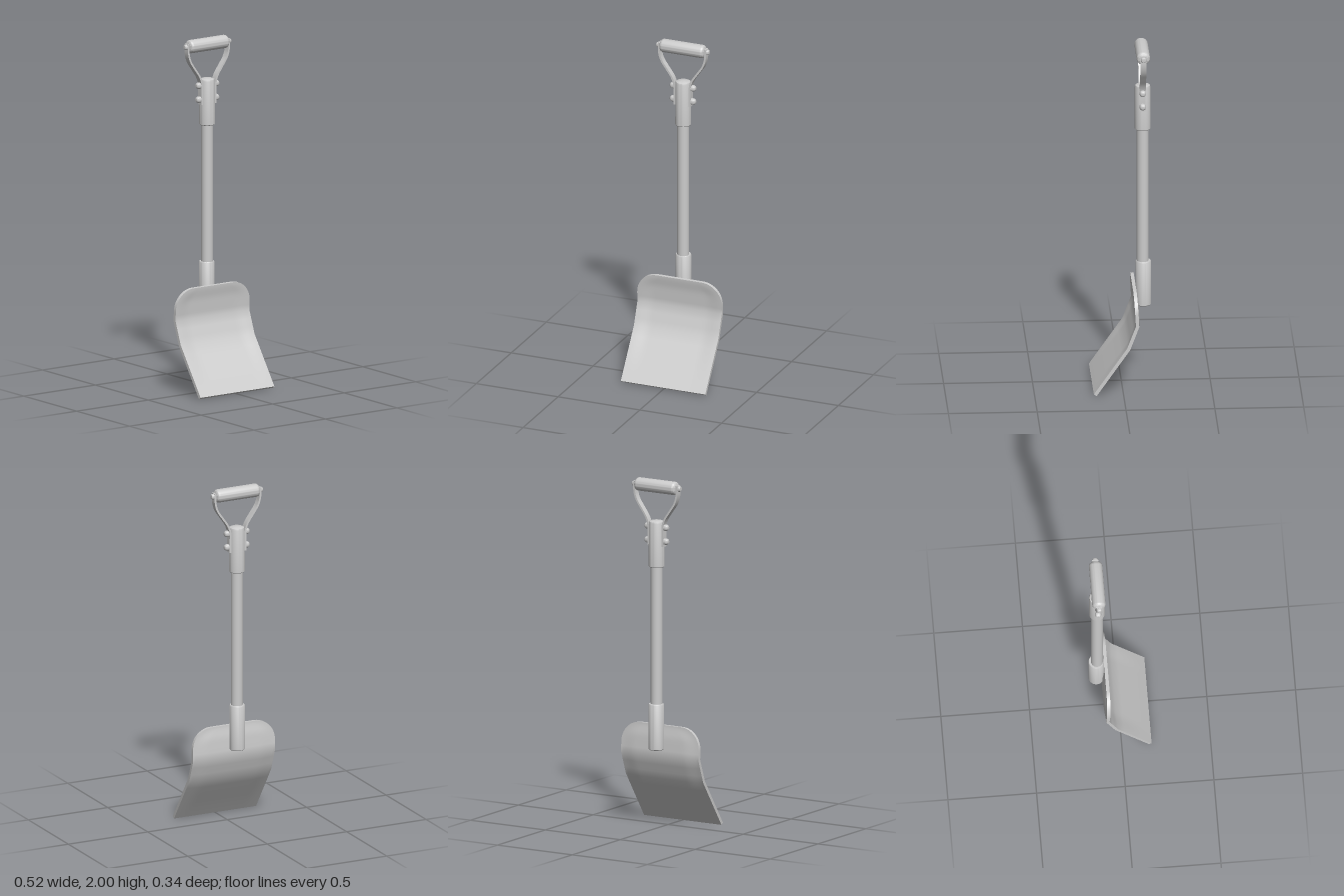
import * as THREE from 'three';
import { toCreasedNormals } from 'three/addons/utils/BufferGeometryUtils.js';

const material = new THREE.MeshStandardMaterial({ color: 0xcccccc });
const SHAFT_Z = -0.12;
const GRIP_Y = 1.962;

function add(parent, name, geometry, x = 0, y = 0, z = 0) {
  const mesh = new THREE.Mesh(geometry, material);
  mesh.name = name;
  mesh.position.set(x, y, z);
  parent.add(mesh);
  return mesh;
}

// Turned part from [radius, height] pairs
function turned(points, segments = 40) {
  const lathe = new THREE.LatheGeometry(points.map(([r, y]) => new THREE.Vector2(r, y)), segments);
  return toCreasedNormals(lathe, 0.6);
}

// Front face of the blade as [height, z], bottom to top
const PROFILE = [[0.01, 0.168], [0.28, -0.02], [0.41, -0.069], [0.585, -0.059]];
const slope = (a, b) => (b[1] - a[1]) / (b[0] - a[0]);

function bladeAt(y) {
  let i = 0;
  while (i < PROFILE.length - 2 && y > PROFILE[i + 1][0]) i++;
  let s = slope(PROFILE[i], PROFILE[i + 1]);
  const z = PROFILE[i][1] + s * (y - PROFILE[i][0]);
  // At a bend, share the slope of both sides
  if (i < PROFILE.length - 2 && Math.abs(y - PROFILE[i + 1][0]) < 1e-6) {
    s = (s + slope(PROFILE[i + 1], PROFILE[i + 2])) / 2;
  }
  const length = Math.hypot(1, s);
  return { z, ny: -s / length, nz: 1 / length };
}

// Bent, slightly dished sheet with rounded upper corners
function bladeGeometry() {
  const halfWidth = 0.258, corner = 0.12, top = 0.585, thickness = 0.019, cols = 32;
  const rows = [0.01, 0.06, 0.11, 0.17, 0.23, 0.28, 0.32, 0.365, 0.41, 0.44].map((y) => [y, halfWidth]);
  for (let i = 0; i <= 10; i++) {
    const a = (i / 10) * Math.PI / 2;
    rows.push([top - corner + corner * Math.sin(a), halfWidth - corner + corner * Math.cos(a)]);
  }
  const positions = [], indices = [];
  const ring = 2 * (cols + 1);
  for (const [y, w] of rows) {
    const { z, ny, nz } = bladeAt(y);
    for (let k = 0; k < ring; k++) {
      const back = k > cols;
      const x = w * (2 * (back ? ring - 1 - k : k) / cols - 1);
      const dish = 0.007 * THREE.MathUtils.smoothstep(w - Math.abs(x), 0, 0.1)
        * THREE.MathUtils.smoothstep(top - y, 0, 0.08) * THREE.MathUtils.smoothstep(y, 0.01, 0.3);
      const d = dish + (back ? thickness : 0);
      positions.push(x, y - d * ny, z - d * nz);
    }
  }
  const quad = (a, b, c, d) => indices.push(a, b, c, a, c, d);
  for (let i = 0; i < rows.length - 1; i++) {
    for (let k = 0; k < ring; k++) {
      const n = (k + 1) % ring;
      quad(i * ring + k, i * ring + n, (i + 1) * ring + n, (i + 1) * ring + k);
    }
  }
  // Close the top and bottom edges
  const last = (rows.length - 1) * ring;
  for (let k = 0; k < cols; k++) {
    quad(last + k, last + k + 1, last + ring - 2 - k, last + ring - 1 - k);
    quad(k, ring - 1 - k, ring - 2 - k, k + 1);
  }
  const geometry = new THREE.BufferGeometry();
  geometry.setAttribute('position', new THREE.Float32BufferAttribute(positions, 3));
  geometry.setIndex(indices);
  return toCreasedNormals(geometry, 0.8);
}

// Flat metal strap that curves from the sleeve up to the end of the grip
function strapGeometry() {
  const thickness = 0.011, width = 0.034, steps = 40;
  const curve = new THREE.CatmullRomCurve3([
    [0.047, 1.62], [0.047, 1.68], [0.048, 1.74], [0.062, 1.78], [0.093, 1.826],
    [0.126, 1.875], [0.14, 1.92], [0.141, 1.98],
  ].map(([x, y]) => new THREE.Vector3(x, y, 0)));
  const outer = [], inner = [];
  for (let i = 0; i <= steps; i++) {
    const p = curve.getPoint(i / steps), t = curve.getTangent(i / steps);
    const nx = t.y * thickness / 2, ny = -t.x * thickness / 2;
    outer.push(new THREE.Vector2(p.x + nx, p.y + ny));
    inner.push(new THREE.Vector2(p.x - nx, p.y - ny));
  }
  const shape = new THREE.Shape([...outer, ...inner.reverse()]);
  const geometry = new THREE.ExtrudeGeometry(shape, { depth: width, bevelEnabled: false });
  geometry.translate(0, 0, -width / 2);
  return toCreasedNormals(geometry, 0.6);
}

export function createModel() {
  const model = new THREE.Group();
  model.name = 'shovel';

  add(model, 'blade', bladeGeometry());
  add(model, 'shaft', new THREE.CylinderGeometry(0.034, 0.034, 1.1, 40), 0, 1.12, SHAFT_Z);

  // Sleeves around both ends of the shaft
  add(model, 'lowerSocket', turned([
    [0, 0.452], [0.041, 0.452], [0.044, 0.456], [0.044, 0.71], [0.041, 0.715], [0, 0.715],
  ]), 0, 0, -0.124);
  add(model, 'upperSleeve', turned([
    [0, 1.5], [0.042, 1.5], [0.045, 1.504], [0.044, 1.752], [0.041, 1.761], [0.03, 1.766], [0, 1.77],
  ]), 0, 0, SHAFT_Z);

  // Grip with rounded ends
  const handle = new THREE.Group();
  handle.name = 'handle';
  handle.position.z = SHAFT_Z + 0.002;
  model.add(handle);
  const gripProfile = [[0, -0.136], [0.018, -0.136]];
  for (let i = 0; i <= 6; i++) {
    const a = (i / 6) * Math.PI / 2;
    gripProfile.push([0.018 + 0.02 * Math.sin(a), -0.116 - 0.02 * Math.cos(a)]);
  }
  const mirrored = gripProfile.map(([r, y]) => [r, -y]).reverse();
  add(handle, 'grip', turned([...gripProfile, ...mirrored]), 0, GRIP_Y, 0).rotation.z = Math.PI / 2;

  // Straps, grip end caps and bolts on both sides
  const strap = strapGeometry();
  const cap = turned([[0, 0], [0.016, 0], [0.016, 0.008], [0.012, 0.015], [0, 0.017]], 24);
  const bolt = turned([[0, 0], [0.018, 0], [0.018, 0.015], [0.015, 0.022], [0.009, 0.027], [0, 0.028]], 24);
  for (const side of [1, -1]) {
    const name = side > 0 ? 'left' : 'right';
    add(handle, name + 'Strap', strap).rotation.y = side > 0 ? 0 : Math.PI;
    add(handle, name + 'GripCap', cap, side * 0.145, GRIP_Y, 0).rotation.z = -side * Math.PI / 2;
    for (const y of [1.65, 1.73]) {
      add(handle, name + 'Bolt', bolt, side * 0.051, y, 0).rotation.z = -side * Math.PI / 2;
    }
  }
  return model;
}
